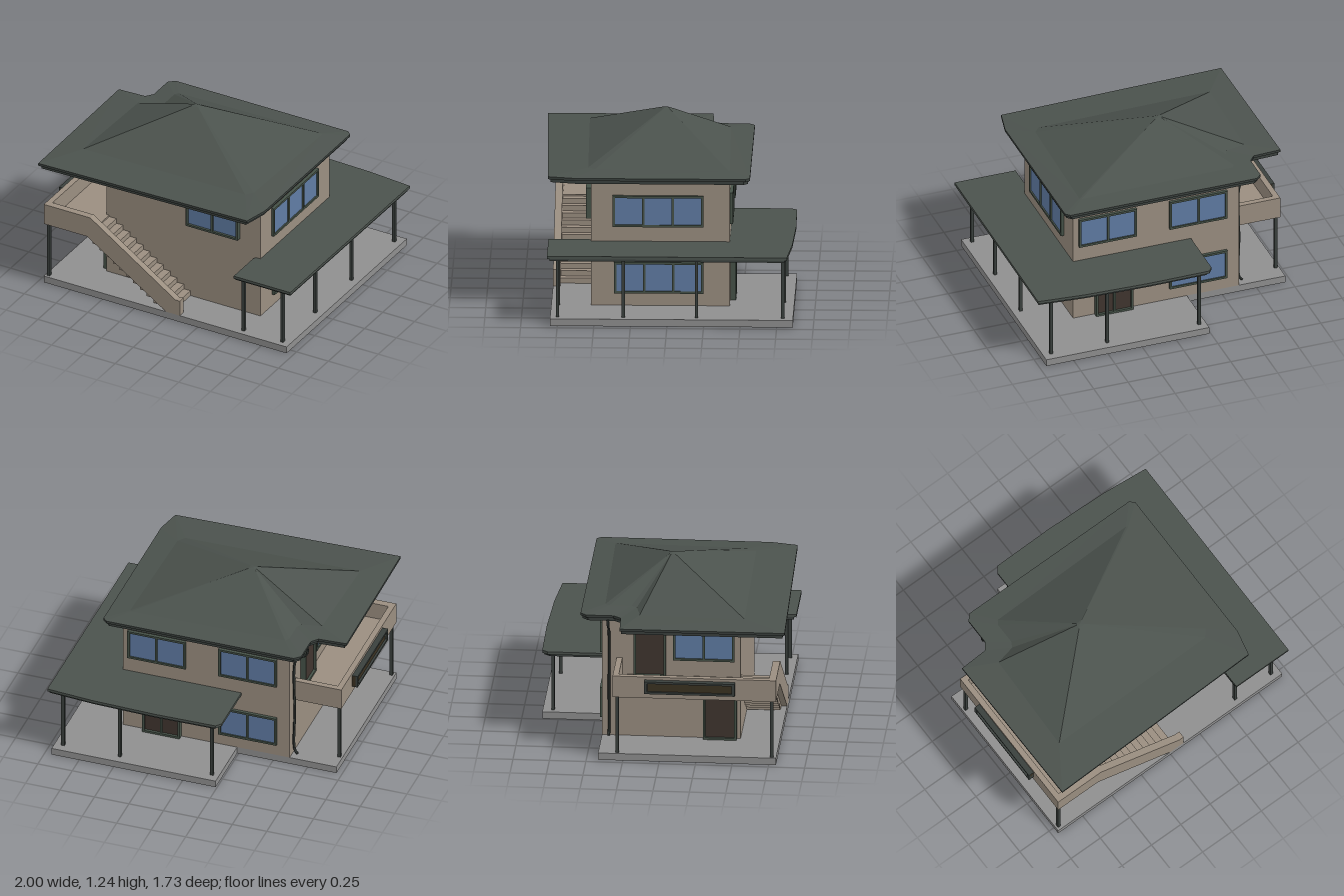
import * as THREE from 'three';

const mat = (color) => new THREE.MeshStandardMaterial({ color, flatShading: true, side: THREE.DoubleSide });

export function createModel() {
  const model = new THREE.Group();
  const wall = mat(0x9a8e80), stone = mat(0x8f8f8f), roofMat = mat(0x4b524d), trim = mat(0x3a403d);
  const frameMat = mat(0x465248), glass = mat(0x607ca4), doorMat = mat(0x40352f), wood = mat(0x3b3222);

  const add = (name, geometry, material, parent = model) => {
    const mesh = new THREE.Mesh(geometry, material);
    mesh.name = name;
    parent.add(mesh);
    return mesh;
  };
  // Box given by its min and max corners
  const box = (name, material, x0, x1, y0, y1, z0, z1, parent = model) => {
    const g = new THREE.BoxGeometry(x1 - x0, y1 - y0, z1 - z0);
    g.translate((x0 + x1) / 2, (y0 + y1) / 2, (z0 + z1) / 2);
    return add(name, g, material, parent);
  };
  // Floor plan outline [x, z] raised from y0 to y1
  const plan = (name, material, pts, y0, y1) => {
    const shape = new THREE.Shape(pts.map(([x, z]) => new THREE.Vector2(x, -z)));
    const g = new THREE.ExtrudeGeometry(shape, { depth: y1 - y0, bevelEnabled: false });
    g.rotateX(-Math.PI / 2).translate(0, y0, 0);
    return add(name, g, material);
  };
  const shrink = (pts, cx, cz, s) => pts.map(([x, z]) => [cx + (x - cx) * s, cz + (z - cz) * s]);

  // Framed opening: faces +z, centred at the bottom middle, then turned onto its wall
  const opening = (name, x, y, z, turn, w, h, panes, fill, depth = 0.03, bar = 0.015) => {
    const group = new THREE.Group();
    group.name = name;
    const shape = new THREE.Shape([[-w / 2, 0], [w / 2, 0], [w / 2, h], [-w / 2, h]].map((p) => new THREE.Vector2(...p)));
    const pw = (w - bar * (panes + 1)) / panes;
    for (let i = 0; i < panes; i++) {
      const a = -w / 2 + bar + i * (pw + bar);
      shape.holes.push(new THREE.Path([[a, bar], [a, h - bar], [a + pw, h - bar], [a + pw, bar]].map((p) => new THREE.Vector2(...p))));
    }
    add('frame', new THREE.ExtrudeGeometry(shape, { depth, bevelEnabled: false }), frameMat, group);
    box('panes', fill, -w / 2 + 0.005, w / 2 - 0.005, 0.005, h - 0.005, 0, depth * 0.55, group);
    group.position.set(x, y, z);
    group.rotation.y = turn;
    model.add(group);
  };

  // Ground slab and house body
  plan('groundSlab', stone, [[-0.96, 0.8], [0.95, 0.8], [0.95, -0.86], [-0.24, -0.86], [-0.24, -0.42], [-0.96, -0.42]], 0, 0.05);
  box('houseBody', wall, -0.62, 0.59, 0.05, 0.94, -0.42, 0.53);

  // Windows and doors
  const back = Math.PI, left = Math.PI / 2, right = -Math.PI / 2;
  opening('frontWindow', 0.225, 0.62, 0.53, 0, 0.41, 0.215, 2, glass, 0.037);
  opening('upperSideWindow', 0.59, 0.61, 0.07, left, 0.62, 0.22, 3, glass, 0.022);
  opening('lowerSideWindow', 0.59, 0.14, 0.065, left, 0.61, 0.22, 3, glass, 0.022);
  opening('upperBackWindow', 0.34, 0.62, -0.42, back, 0.42, 0.22, 2, glass, 0.022);
  opening('upperBackWindow', -0.32, 0.62, -0.42, back, 0.42, 0.22, 2, glass, 0.022);
  opening('lowerBackWindow', -0.32, 0.14, -0.42, back, 0.42, 0.22, 2, glass, 0.022);
  opening('backDoor', 0.3, 0.05, -0.42, back, 0.27, 0.36, 2, doorMat, 0.04);
  opening('balconyDoor', -0.62, 0.5, -0.09, right, 0.22, 0.37, 1, doorMat, 0.04);
  opening('balconyWindow', -0.62, 0.62, 0.28, right, 0.42, 0.215, 2, glass, 0.025);
  opening('lowerDoor', -0.62, 0.05, 0.39, right, 0.23, 0.35, 1, doorMat, 0.04);

  // Main roof: eave outline, inner ring at the change of slope, and the peak
  const eave = [[-0.70, -0.56], [0.66, -0.56], [0.69, -0.53], [0.69, 0.64], [0.65, 0.82], [-0.97, 0.86],
    [-0.98, -0.27], [-0.78, -0.28], [-0.74, -0.33], [-0.74, -0.52]];
  const ring = [[-0.58, -0.40], [0.53, -0.42], [0.54, -0.41], [0.52, 0.5], [0.48, 0.55], [-0.78, 0.57],
    [-0.76, -0.15], [-0.62, -0.18], [-0.6, -0.22], [-0.6, -0.37]];
  const levels = [[eave, 0.975], [ring, 0.995], [shrink(ring, -0.2, 0.03, 0.04), 1.235]]
    .map(([pts, y]) => pts.map(([x, z]) => [x, y, z]));
  const peak = [-0.2, 1.24, 0.03];
  const v = [];
  for (let i = 0; i < eave.length; i++) {
    const j = (i + 1) % eave.length;
    for (let k = 0; k < 2; k++) {
      const a = levels[k], b = levels[k + 1];
      v.push(...a[i], ...b[i], ...a[j], ...a[j], ...b[i], ...b[j]);
    }
    v.push(...levels[2][i], ...peak, ...levels[2][j]);
  }
  const roof = new THREE.BufferGeometry();
  roof.setAttribute('position', new THREE.Float32BufferAttribute(v, 3));
  roof.computeVertexNormals();
  add('mainRoof', roof, roofMat);
  plan('eaveEdge', trim, eave, 0.957, 0.975);
  plan('eaveGutter', trim, shrink(eave, -0.15, 0.1, 0.98), 0.932, 0.957);

  // Porch roof wrapping the side and back
  const porch = [[0.545, 0.82], [0.99, 0.82], [0.995, -0.82], [0.66, -0.85], [0.2, -0.865], [-0.24, -0.86],
    [-0.27, -0.82], [-0.27, -0.40], [0.57, -0.40], [0.57, 0.5], [0.545, 0.55]];
  plan('porchRoof', roofMat, porch, 0.485, 0.505);
  plan('porchRoofGutter', trim, shrink(porch, 0.5, -0.1, 0.98), 0.468, 0.485);

  // Posts under the porch and the balcony
  const post = (x, z, top) => box('post', trim, x - 0.011, x + 0.011, 0.05, top, z - 0.011, z + 0.011);
  [[0.585, 0.75], [0.89, 0.75], [0.89, 0.3], [0.89, -0.2], [0.89, -0.79], [0.48, -0.79], [-0.19, -0.79]]
    .forEach(([x, z]) => post(x, z, 0.47));
  [[-0.935, 0.77], [-0.935, -0.29]].forEach(([x, z]) => post(x, z, 0.465));

  // Balcony floor and parapets
  box('balconyFloor', wall, -0.955, -0.6, 0.465, 0.5, -0.315, 0.795);
  box('balconySideParapet', wall, -0.96, -0.92, 0.465, 0.62, -0.32, 0.8);
  box('balconyBackParapet', wall, -0.92, -0.62, 0.465, 0.62, -0.32, -0.28);

  // Front parapet running down along the stairs
  const rail = new THREE.Shape([[-0.92, 0.465], [-0.62, 0.465], [0, 0.05], [0.11, 0.05], [0.11, 0.165],
    [0.075, 0.165], [-0.595, 0.62], [-0.92, 0.62]].map((p) => new THREE.Vector2(...p)));
  const railGeo = new THREE.ExtrudeGeometry(rail, { depth: 0.05, bevelEnabled: false });
  add('stairParapet', railGeo.translate(0, 0, 0.75), wall);

  // Stairs
  for (let i = 0; i < 12; i++) {
    const x = 0.04 - i * 0.053, top = 0.088 + i * 0.0365;
    box('stairStep', wall, x - 0.056, x, Math.max(0.05, top - 0.095), top, 0.53, 0.76);
  }

  // Plain framed board on the balcony
  box('board', wood, -0.985, -0.96, 0.515, 0.595, -0.1, 0.52);
  [[0.51, 0.525, -0.1, 0.52], [0.585, 0.6, -0.1, 0.52], [0.525, 0.585, -0.1, -0.08], [0.525, 0.585, 0.5, 0.52]]
    .forEach(([y0, y1, z0, z1]) => box('boardFrame', trim, -1, -0.96, y0, y1, z0, z1));

  // Downpipe at the back corner
  const path = new THREE.CatmullRomCurve3([[-0.735, 0.94], [-0.725, 0.89], [-0.66, 0.845], [-0.64, 0.8], [-0.64, 0.4], [-0.64, 0.09], [-0.66, 0.06]]
    .map(([x, y]) => new THREE.Vector3(x, y, -0.37)));
  add('downpipe', new THREE.TubeGeometry(path, 40, 0.009, 6), trim);

  return model;
}
